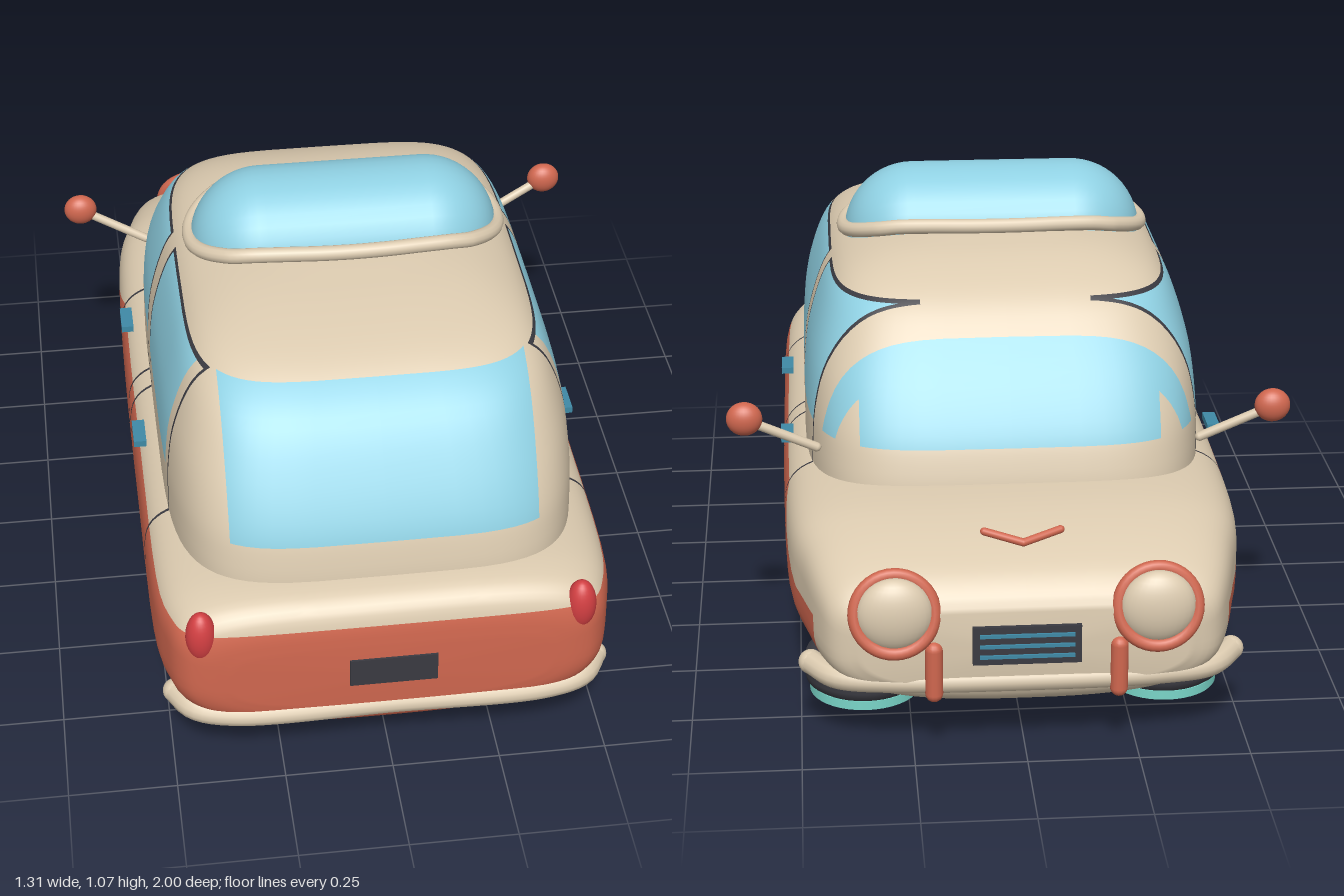
import * as THREE from 'three';

const paint = (name, color) => Object.assign(new THREE.MeshStandardMaterial({ color }), { name });

// Signed power, for superellipse outlines
const spow = (v, e) => Math.sign(v) * Math.abs(v) ** e;

// Smooth in-between rows of [along, a, b, c] sections
function smooth(keys, count) {
  const curve = (f) => new THREE.CatmullRomCurve3(keys.map(f), false, 'catmullrom');
  const a = curve((k) => new THREE.Vector3(k[0], k[1], k[2]));
  const b = curve((k) => new THREE.Vector3(k[3], 0, 0));
  return Array.from({ length: count + 1 }, (_, i) => {
    const p = a.getPoint(i / count);
    return [p.x, p.y, p.z, b.getPoint(i / count).x];
  });
}

// Skin a list of closed rings into a smooth shell
function loft(rings) {
  const n = rings[0].length, index = [];
  for (let i = 0; i < rings.length - 1; i++) {
    for (let j = 0; j < n; j++) {
      const a = i * n + j, c = i * n + (j + 1) % n;
      index.push(a, a + n, c, c, a + n, c + n);
    }
  }
  const geo = new THREE.BufferGeometry().setFromPoints(rings.flat());
  geo.setIndex(index);
  geo.computeVertexNormals();
  return geo;
}

// Shell as a list of polygons whose corners hold position and normal
function polygons(geo) {
  const g = geo.toNonIndexed(), p = g.attributes.position, m = g.attributes.normal, list = [];
  for (let i = 0; i < p.count; i += 3) {
    list.push([i, i + 1, i + 2].map((k) =>
      [p.getX(k), p.getY(k), p.getZ(k), m.getX(k), m.getY(k), m.getZ(k)]));
  }
  return list;
}

// Split polygons by a plane ax + by + cz + d >= 0
function split(polys, [a, b, c, d]) {
  const inside = [], outside = [];
  for (const poly of polys) {
    const dist = poly.map((v) => a * v[0] + b * v[1] + c * v[2] + d);
    const pos = [], neg = [];
    poly.forEach((v, i) => {
      const k = (i + 1) % poly.length, s = dist[i], t = dist[k];
      (s >= 0 ? pos : neg).push(v);
      if ((s >= 0) !== (t >= 0)) {
        const mid = v.map((x, q) => x + (poly[k][q] - x) * s / (s - t));
        pos.push(mid);
        neg.push(mid);
      }
    });
    if (pos.length > 2) inside.push(pos);
    if (neg.length > 2) outside.push(neg);
  }
  return [inside, outside];
}

// Separate the part of a shell inside a convex region
function carve(polys, planes) {
  let inside = polys;
  const outside = [];
  for (const plane of planes) {
    const [i, o] = split(inside, plane);
    inside = i;
    outside.push(...o);
  }
  return [inside, outside];
}

// Region on one flank, bounded in z and y
const sideRect = (s, z0, z1, y0, y1) =>
  [[s, 0, 0, -0.2], [0, 0, 1, -z0], [0, 0, -1, z1], [0, 1, 0, -y0], [0, -1, 0, y1]];

// Cut the narrow outlines of the four doors out of a shell
function cutSeams(polys) {
  const seams = [], w = 0.008;
  let rest = polys;
  for (const s of [1, -1]) for (const [z0, z1] of [[0.07, 0.57], [-0.35, 0.005]]) {
    const [door, around] = carve(rest, sideRect(s, z0, z1, 0.145, 0.865));
    const [panel, rim] = carve(door, sideRect(s, z0 + w, z1 - w, 0.145 + w, 0.865 - w));
    seams.push(...rim);
    rest = around.concat(panel);
  }
  return [seams, rest];
}

// Move several regions of a shell to another colour
function cutRegions(polys, regions) {
  const picked = [];
  let rest = polys;
  for (const region of regions) {
    const [i, o] = carve(rest, region);
    picked.push(...i);
    rest = o;
  }
  return [picked, rest];
}

function fromPolygons(polys) {
  const pos = [], nor = [];
  for (const p of polys) for (let i = 1; i < p.length - 1; i++) {
    for (const v of [p[0], p[i], p[i + 1]]) {
      pos.push(v[0], v[1], v[2]);
      nor.push(v[3], v[4], v[5]);
    }
  }
  const geo = new THREE.BufferGeometry();
  geo.setAttribute('position', new THREE.Float32BufferAttribute(pos, 3));
  geo.setAttribute('normal', new THREE.Float32BufferAttribute(nor, 3));
  return geo;
}

export function createModel() {
  const car = new THREE.Group();
  car.name = 'hoverCar';
  const cream = paint('cream', 0xdccbb0), coral = paint('coral', 0xd0674f);
  const glass = paint('glass', 0x8fd0e2), rubber = paint('rubber', 0x3a3a41);
  const glow = paint('thrusterTeal', 0x7ad6c9), lamp = paint('lampRed', 0xd23f42);
  const blue = paint('handleBlue', 0x3f8aa6);

  const add = (name, geo, mat, x = 0, y = 0, z = 0) => {
    const mesh = new THREE.Mesh(geo, mat);
    mesh.name = name;
    mesh.position.set(x, y, z);
    car.add(mesh);
    return mesh;
  };
  const vec = (p) => new THREE.Vector3(...p);
  const ball = (name, mat, p, sx, sy, sz) =>
    add(name, new THREE.SphereGeometry(1, 28, 18), mat, ...p).scale.set(sx, sy, sz);
  const rod = (name, mat, a, b, r) => {
    const d = vec(b).sub(vec(a));
    const m = add(name, new THREE.CapsuleGeometry(r, d.length(), 6, 14), mat, ...vec(a).addScaledVector(d, 0.5));
    m.quaternion.setFromUnitVectors(new THREE.Vector3(0, 1, 0), d.normalize());
  };

  // Lower body: z, half width, bottom, top from tail to nose
  const hull = smooth([
    [0.99, 0.36, 0.20, 0.36], [0.983, 0.43, 0.16, 0.42], [0.96, 0.475, 0.125, 0.465], [0.9, 0.505, 0.10, 0.488],
    [0.75, 0.528, 0.088, 0.495], [0.3, 0.532, 0.085, 0.495], [-0.2, 0.532, 0.085, 0.495],
    [-0.58, 0.522, 0.085, 0.495], [-0.75, 0.49, 0.088, 0.475], [-0.88, 0.455, 0.105, 0.432],
    [-0.94, 0.42, 0.13, 0.39], [-0.965, 0.36, 0.17, 0.35]], 44);
  hull.unshift([0.992, 0, 0.28, 0.28]);
  hull.push([-0.97, 0, 0.26, 0.26]);
  const hullRings = hull.map(([z, w, lo, hi]) => Array.from({ length: 72 }, (_, j) => {
    const t = j / 72 * Math.PI * 2, c = Math.cos(t), s = Math.sin(t), e = s > 0 ? 0.42 : 0.74;
    return new THREE.Vector3(w * spow(c, e), (lo + hi) / 2 + (hi - lo) / 2 * spow(s, e), z);
  }));
  const [hullSeams, hullRest] = cutSeams(polygons(loft(hullRings)));
  const [lowerPaint, upperPaint] = cutRegions(hullRest, [
    [[0, -1, 0, 0.42], [0, 0, 1, 0.69], [0, -1, 0.353, 0.5435]],
    [[0, -1, 0, 0.30], [0, 0, 1, 0.84], [0, 0, -1, -0.69]]]);
  add('lowerBody', fromPolygons(lowerPaint), coral);
  add('upperBody', fromPolygons(upperPaint), cream);

  // Cabin: y, half width, rear z, front z
  const dome = smooth([
    [0.46, 0.476, 0.898, -0.59], [0.52, 0.476, 0.89, -0.578], [0.6, 0.474, 0.868, -0.55], [0.7, 0.463, 0.815, -0.49],
    [0.8, 0.435, 0.745, -0.41], [0.86, 0.405, 0.67, -0.35], [0.9, 0.36, 0.58, -0.28],
    [0.93, 0.28, 0.44, -0.19], [0.946, 0.17, 0.29, -0.08]], 32);
  dome.push([0.953, 0, 0.1, 0.1]);
  const domeRings = dome.map(([y, w, back, front]) => Array.from({ length: 80 }, (_, j) => {
    const t = j / 80 * Math.PI * 2;
    return new THREE.Vector3(w * spow(Math.cos(t), 0.42), y,
      (back + front) / 2 + (back - front) / 2 * spow(Math.sin(t), 0.42));
  }));
  const [domeSeams, domeRest] = cutSeams(polygons(loft(domeRings)));
  const middle = [[1, 0, 0, 0.35], [-1, 0, 0, 0.35], [0, 1, 0, -0.573]];
  const [panes, shell] = cutRegions(domeRest, [
    [...middle, [0, -1, 0, 0.868], [0, 0, 1, -0.5]],
    [...middle, [0, 0, -1, -0.42]],
    [[0, 1, 0, -0.573], [0, 0, 1, 0.47], [0, 0, -1, -0.415]],
    ...[1, -1].flatMap((s) => [sideRect(s, 0.078, 0.527, 0.573, 0.857), sideRect(s, -0.342, -0.003, 0.573, 0.857)])]);
  add('windows', fromPolygons(panes), glass);
  add('cabin', fromPolygons(shell), cream);
  add('doorSeams', fromPolygons(hullSeams.concat(domeSeams)), rubber);

  // Roof bubble and its rim, drooping at both ends with the roof
  add('roofBubble', new THREE.CapsuleGeometry(0.172, 0.39, 14, 36), glass, 0, 0.898, 0.105).rotation.z = Math.PI / 2;
  const rim = Array.from({ length: 40 }, (_, i) => {
    const t = i / 40 * Math.PI * 2, c = Math.cos(t);
    const x = 0.19 * Math.max(-1, Math.min(1, c * 2)) + 0.178 * spow(c, 1.3);
    return new THREE.Vector3(x, 0.96 - 1.3 * Math.max(0, Math.abs(x) - 0.19) ** 2, 0.105 + 0.183 * spow(Math.sin(t), 0.9));
  });
  add('bubbleRim', new THREE.TubeGeometry(new THREE.CatmullRomCurve3(rim, true), 120, 0.018, 12, true), cream);

  // Bumpers with round ends
  const bumper = (name, half, r) => {
    const path = [...half.map(([x, y, z]) => vec([-x, y, z])), ...half.slice(0, -1).reverse().map(vec)];
    add(name, new THREE.TubeGeometry(new THREE.CatmullRomCurve3(path), 64, r, 12), cream);
    for (const s of [1, -1]) ball(name + 'End', cream, [s * half[0][0], half[0][1], half[0][2]], r, r, r);
  };
  bumper('rearBumper', [[0.49, 0.185, 0.88], [0.45, 0.182, 0.94], [0.36, 0.175, 0.965], [0, 0.178, 0.97]], 0.028);
  bumper('frontBumper', [[0.475, 0.185, -0.84], [0.42, 0.18, -0.905], [0.3, 0.18, -0.935], [0, 0.18, -0.945]], 0.028);

  // Number plate and grille
  add('plate', new THREE.BoxGeometry(0.2, 0.073, 0.012), rubber, 0, 0.295, 0.99);
  add('grille', new THREE.BoxGeometry(0.24, 0.09, 0.02), rubber, 0, 0.275, -0.967);
  for (const y of [0.25, 0.275, 0.3]) add('grilleBar', new THREE.BoxGeometry(0.21, 0.008, 0.008), blue, 0, y, -0.978);

  for (const s of [1, -1]) {
    // Wheels folded flat, with thruster discs below
    for (const z of [0.64, -0.6]) {
      const tyre = [[0, 0.02], [0.125, 0.02], [0.138, 0.03], [0.141, 0.045], [0.141, 0.08], [0.136, 0.094], [0.12, 0.1], [0, 0.1]];
      add('wheel', new THREE.LatheGeometry(tyre.map((p) => new THREE.Vector2(...p)), 40), rubber, s * 0.35, 0, z);
      add('thruster', new THREE.CylinderGeometry(0.13, 0.13, 0.022, 40), glow, s * 0.35, 0.011, z);
    }
    // Headlights, tilted back
    const ring = add('headlightRing', new THREE.TorusGeometry(0.088, 0.015, 12, 40), coral, s * 0.29, 0.35, -0.955);
    ring.rotation.x = 0.24;
    ball('headlight', cream, [s * 0.29, 0.35, -0.955], 0.085, 0.085, 0.043);
    rod('bumperGuard', coral, [s * 0.205, 0.16, -0.965], [s * 0.205, 0.265, -0.965], 0.02);
    ball('tailLight', lamp, [s * 0.43, 0.41, 0.955], 0.035, 0.066, 0.033);
    // Mirrors on stalks
    rod('mirrorStalk', cream, [s * 0.45, 0.55, -0.46], [s * 0.6, 0.625, -0.485], 0.011);
    ball('mirror', coral, [s * 0.615, 0.635, -0.487], 0.042, 0.04, 0.03);
    for (const z of [0.29, -0.19]) add('doorHandle', new THREE.BoxGeometry(0.03, 0.016, 0.085), blue, s * 0.52, 0.48, z);
    // Bonnet chevron
    rod('chevron', coral, [0, 0.472, -0.865], [s * 0.085, 0.486, -0.83], 0.009);
  }
  return car;
}
